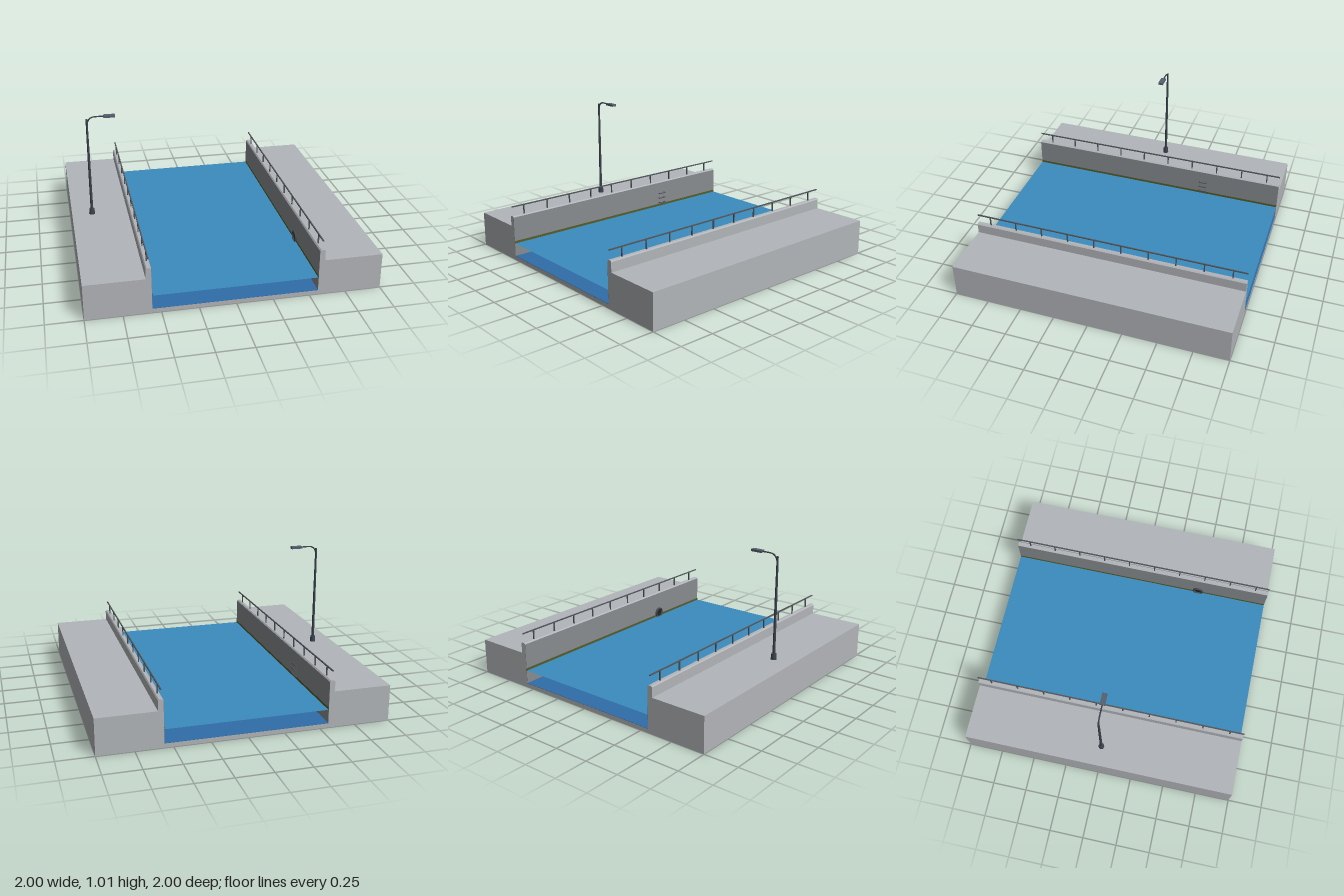
import * as THREE from 'three';

const material = (name, color, side = THREE.FrontSide) => {
  const m = new THREE.MeshStandardMaterial({ color, side });
  m.name = name;
  return m;
};

export function createModel() {
  const concrete = material('concrete', 0xb2b5b9);
  const dampConcrete = material('damp concrete', 0x888c90);
  const waterBlue = material('water blue', 0x3a8cbe, THREE.DoubleSide);
  const bedBlue = material('deep water blue', 0x2f6ea8);
  const algae = material('algae green', 0x565c2a);
  const railMetal = material('rail metal', 0x53585c);
  const lampMetal = material('lamp metal', 0x3c444e);
  const lampGrey = material('lamp head grey', 0x566070);
  const darkHole = material('dark opening', 0x202326);

  const model = new THREE.Group();
  model.name = 'canal';
  const add = (name, geometry, mat, x = 0, y = 0, z = 0, parent = model) => {
    const mesh = new THREE.Mesh(geometry, mat);
    mesh.name = name;
    mesh.position.set(x, y, z);
    parent.add(mesh);
    return mesh;
  };
  const box = (w, h, d) => new THREE.BoxGeometry(w, h, d);

  // Quays with parapets, one on each bank
  for (const s of [-1, 1]) {
    const bank = new THREE.Group();
    bank.name = s < 0 ? 'rightBank' : 'leftBank';
    model.add(bank);

    const profile = [[0.56, 0], [1, 0], [1, 0.255], [0.597, 0.255],
      [0.597, 0.325], [0.59, 0.333], [0.568, 0.333], [0.56, 0.325]];
    const shape = new THREE.Shape(profile.map(([x, y]) => new THREE.Vector2(s * x, y)));
    const quay = new THREE.ExtrudeGeometry(shape, { depth: 2, bevelEnabled: false });
    add('quay', quay, concrete, 0, 0, -1, bank);
    add('wallFace', box(0.002, 0.295, 2), dampConcrete, s * 0.56, 0.1775, 0, bank);
    add('algaeLine', box(0.004, 0.02, 2), algae, s * 0.559, 0.135, 0, bank);

    // Handrail on posts
    add('handrail', box(0.008, 0.008, 2), railMetal, s * 0.578, 0.401, 0, bank);
    for (let i = 0; i < 10; i++) {
      add('railPost', box(0.008, 0.07, 0.008), railMetal, s * 0.578, 0.365, -0.9 + i * 0.2, bank);
    }
  }

  // Canal floor (dark underside) and water surface
  const floorMaterials = [concrete, concrete, concrete, dampConcrete, concrete, concrete];
  add('canalFloor', box(1.12, 0.03, 2), floorMaterials, 0, 0.015, 0);
  add('canalBed', box(1.12, 0.002, 2), bedBlue, 0, 0.031, 0);
  add('water', new THREE.PlaneGeometry(1.12, 2).rotateX(-Math.PI / 2), waterBlue, 0, 0.128, 0);

  // Wall ladder of U-shaped rungs
  const ladder = new THREE.Group();
  ladder.name = 'wallLadder';
  ladder.position.set(-0.56, 0, -0.4);
  model.add(ladder);
  for (let i = 0; i < 5; i++) {
    const y = 0.077 + i * 0.04;
    add('rungBar', box(0.006, 0.006, 0.062), railMetal, 0.017, y, 0, ladder);
    for (const s of [-1, 1]) {
      add('rungArm', box(0.02, 0.006, 0.006), railMetal, 0.01, y, s * 0.028, ladder);
    }
  }

  // Drain outlet on the opposite wall
  const drain = new THREE.Group();
  drain.name = 'drainOutlet';
  drain.position.set(0.56, 0.158, 0.465);
  drain.rotation.z = Math.PI / 2;
  model.add(drain);
  const rim = [[0.042, 0], [0.042, 0.011], [0.038, 0.014], [0.03, 0.014], [0.028, 0.002]]
    .map(([r, y]) => new THREE.Vector2(r, y));
  const rimMesh = add('drainRim', new THREE.LatheGeometry(rim, 20), railMetal, 0, 0, 0, drain);
  rimMesh.material = material('drain metal', 0x484c50, THREE.DoubleSide);
  add('drainOpening', new THREE.CylinderGeometry(0.03, 0.03, 0.003, 20), darkHole, 0, 0.003, 0, drain);

  // Street lamp
  const lamp = new THREE.Group();
  lamp.name = 'streetLamp';
  lamp.position.set(-0.855, 0.255, 0);
  model.add(lamp);
  add('lampBase', new THREE.CylinderGeometry(0.018, 0.022, 0.042, 8), lampMetal, 0, 0.021, 0, lamp);
  add('lowerPole', new THREE.CylinderGeometry(0.009, 0.01, 0.38, 12), lampMetal, 0, 0.22, 0, lamp);
  add('upperPole', new THREE.CylinderGeometry(0.007, 0.009, 0.33, 12), lampMetal, 0, 0.57, 0, lamp);
  const arm = new THREE.CatmullRomCurve3([[0, 0.69], [0.012, 0.727], [0.035, 0.747], [0.065, 0.751], [0.13, 0.75]]
    .map(([x, y]) => new THREE.Vector3(x, y, 0)));
  add('lampArm', new THREE.TubeGeometry(arm, 20, 0.005, 8), lampMetal, 0, 0, 0, lamp);
  add('lampHead', box(0.082, 0.016, 0.036), lampGrey, 0.159, 0.75, 0, lamp);

  return model;
}
